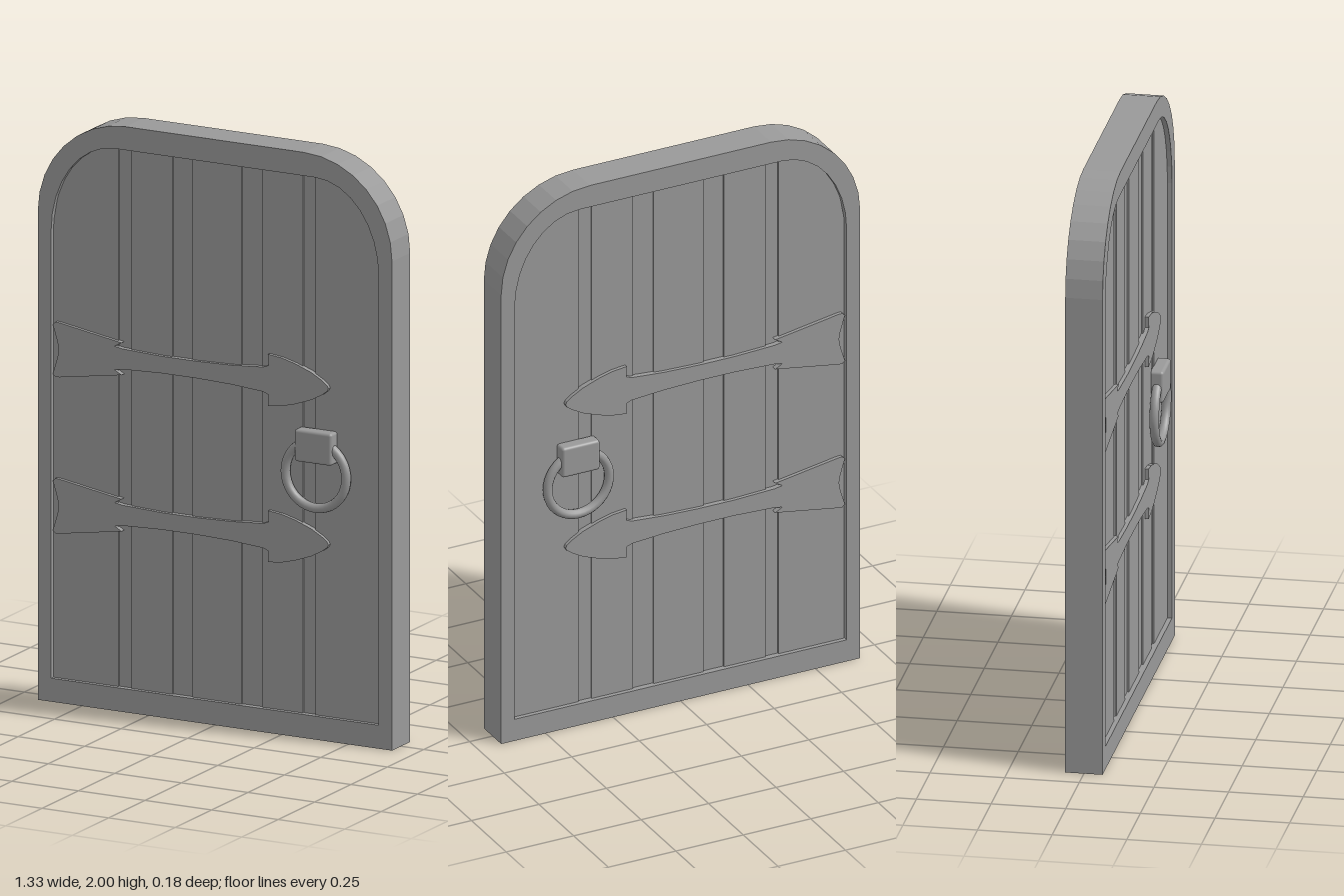
import * as THREE from 'three';
import { RoundedBoxGeometry } from 'three/addons/geometries/RoundedBoxGeometry.js';

const HALF_DEPTH = 0.0625;  // frame
const PLANK_DEPTH = 0.047;  // recessed boards, half thickness
const CORE_DEPTH = 0.041;   // floor of the shallow channels between boards
const INNER = { w: 0.615, y0: 0.08, y1: 1.92, rx: 0.24, ry: 0.31 };

// Door outline: square foot, rounded upper corners
function outline(w, y0, y1, rx, ry) {
  const pts = [new THREE.Vector2(-w, y0), new THREE.Vector2(w, y0)];
  const n = 8;
  for (const side of [1, -1]) {
    for (let i = 0; i <= n; i++) {
      const a = (Math.PI / 2) * (side > 0 ? i : n - i) / n;
      pts.push(new THREE.Vector2(side * (w - rx + rx * Math.cos(a)), y1 - ry + ry * Math.sin(a)));
    }
  }
  return pts;
}

// Height of the frame opening at a given x
function openingTop(x) {
  const t = Math.max(0, Math.abs(x) - (INNER.w - INNER.rx)) / INNER.rx;
  return INNER.y1 - INNER.ry + INNER.ry * Math.sqrt(Math.max(0, 1 - t * t));
}

// Extrude a shape between two depths
function slab(shape, z0, z1) {
  const g = new THREE.ExtrudeGeometry(shape, { depth: z1 - z0, bevelEnabled: false, curveSegments: 8 });
  return g.translate(0, 0, z0);
}

// Arrow-shaped strap, symmetric about its long axis
function strapShape(cy) {
  const half = [
    [-0.61, 0.085], [-0.6, 0.094], [-0.585, 0.093], [-0.352, 0.055], [-0.378, 0.04], [-0.35, 0.035],
    [-0.2, 0.029], [-0.07, 0.029], [0.06, 0.033], [0.18, 0.042], [0.2, 0.05], [0.198, 0.088],
    [0.25, 0.082], [0.3, 0.069], [0.36, 0.047], [0.4, 0.025], [0.42, 0.01],
  ];
  const pts = [[-0.588, 0], [-0.592, 0.025], ...half, [0.425, 0]];
  for (const [x, y] of half.slice().reverse()) pts.push([x, -y]);
  pts.push([-0.592, -0.025]);
  return new THREE.Shape(pts.map(([x, y]) => new THREE.Vector2(x, cy + y)));
}

export function createModel() {
  const door = new THREE.Group();
  door.name = 'door';
  const grey = new THREE.MeshStandardMaterial({ color: 0x999999 });
  grey.name = 'grey';
  const add = (parent, name, geometry) => {
    const mesh = new THREE.Mesh(geometry, grey);
    mesh.name = name;
    parent.add(mesh);
    return mesh;
  };

  // Frame around the boards
  const inner = outline(INNER.w, INNER.y0, INNER.y1, INNER.rx, INNER.ry);
  const frame = new THREE.Shape(outline(0.665, 0, 2, 0.33, 0.33));
  frame.holes.push(new THREE.Path(inner));
  add(door, 'frame', slab(frame, -HALF_DEPTH, HALF_DEPTH));
  add(door, 'core', slab(new THREE.Shape(inner), -CORE_DEPTH, CORE_DEPTH));

  // Upright boards with shallow channels between them
  const boards = [[-0.614, -0.37], [-0.322, -0.168], [-0.092, 0.092], [0.168, 0.322], [0.37, 0.614]];
  for (const [x0, x1] of boards) {
    const pts = [new THREE.Vector2(x0, INNER.y0), new THREE.Vector2(x1, INNER.y0)];
    for (let i = 0; i <= 16; i++) {
      const x = x1 + (x0 - x1) * i / 16;
      pts.push(new THREE.Vector2(x, openingTop(x)));
    }
    add(door, 'board', slab(new THREE.Shape(pts), -PLANK_DEPTH, PLANK_DEPTH));
  }

  // Straps and ring handles on both faces
  for (const side of [1, -1]) {
    const fittings = new THREE.Group();
    fittings.name = side > 0 ? 'frontFittings' : 'backFittings';
    door.add(fittings);
    for (const cy of [1.204, 0.67]) {
      const z = [side * CORE_DEPTH, side * 0.06].sort((a, b) => a - b);
      add(fittings, 'hingeStrap', slab(strapShape(cy), z[0], z[1]));
    }
    const ring = add(fittings, 'handleRing', new THREE.TorusGeometry(0.114, 0.016, 12, 40));
    ring.position.set(0.381, 0.906, side * 0.066);
    const mount = add(fittings, 'handleMount', new RoundedBoxGeometry(0.14, 0.11, 0.048, 3, 0.01));
    mount.position.set(0.381, 1.003, side * 0.065);
  }
  return door;
}
